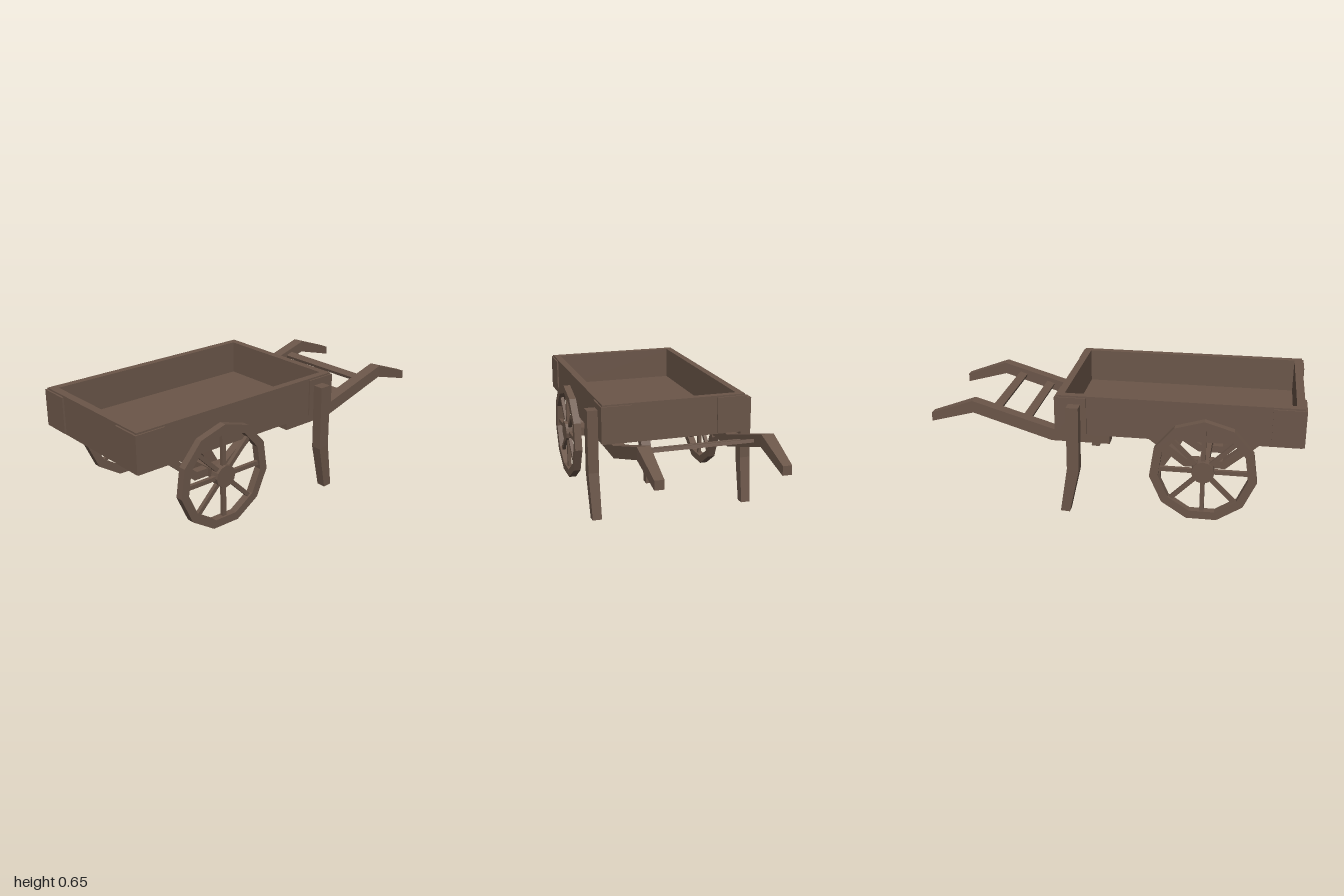
import * as THREE from 'three';

const wood = new THREE.MeshStandardMaterial({ color: 0x6b5649, flatShading: true });
wood.name = 'brownWood';

function add(parent, name, geometry, x = 0, y = 0, z = 0) {
  const mesh = new THREE.Mesh(geometry, wood);
  mesh.name = name;
  mesh.position.set(x, y, z);
  parent.add(mesh);
  return mesh;
}

// Box given by its minimum and maximum on each axis
function block(parent, name, x0, x1, y0, y1, z0, z1) {
  return add(parent, name, new THREE.BoxGeometry(x1 - x0, y1 - y0, z1 - z0),
    (x0 + x1) / 2, (y0 + y1) / 2, (z0 + z1) / 2);
}

// Bent beam through four-cornered sections [x0, x1, zA, yA, zB, yB];
// side = -1 mirrors it to the other side of the cart
function beam(parent, name, sections, side = 1) {
  const pos = [], idx = [];
  for (const [a, b, zA, yA, zB, yB] of sections) {
    const x0 = side > 0 ? a : -b, x1 = side > 0 ? b : -a;
    pos.push(x0, yA, zA, x1, yA, zA, x1, yB, zB, x0, yB, zB);
  }
  const n = sections.length;
  for (let i = 0; i < n - 1; i++) {
    for (let j = 0; j < 4; j++) {
      const p = i * 4 + j, q = i * 4 + (j + 1) % 4;
      idx.push(p, q, q + 4, p, q + 4, p + 4);
    }
  }
  const e = (n - 1) * 4;
  idx.push(0, 3, 2, 0, 2, 1, e, e + 1, e + 2, e, e + 2, e + 3);
  const indexed = new THREE.BufferGeometry();
  indexed.setAttribute('position', new THREE.Float32BufferAttribute(pos, 3));
  indexed.setIndex(idx);
  const g = indexed.toNonIndexed();
  g.computeVertexNormals();
  return add(parent, name, g);
}

function ringPoints(radius, sides) {
  return Array.from({ length: sides }, (_, i) => {
    const a = Math.PI / 2 + i * Math.PI * 2 / sides;
    return new THREE.Vector2(radius * Math.cos(a), radius * Math.sin(a));
  });
}

// Wheel with an eleven-sided rim, turning about x
function makeWheel(name) {
  const wheel = new THREE.Group();
  wheel.name = name;
  const shape = new THREE.Shape(ringPoints(0.283, 11));
  shape.holes.push(new THREE.Path(ringPoints(0.237, 11)));
  const rim = new THREE.ExtrudeGeometry(shape, { depth: 0.042, bevelEnabled: false });
  rim.translate(0, 0, -0.021).rotateY(Math.PI / 2);
  add(wheel, 'rim', rim);
  add(wheel, 'hub', new THREE.CylinderGeometry(0.06, 0.06, 0.05, 12).rotateZ(Math.PI / 2));
  for (let i = 0; i < 8; i++) {
    const spoke = new THREE.BoxGeometry(0.02, 0.2, 0.023);
    spoke.translate(0, 0.14, 0).rotateX(i * Math.PI / 4);
    add(wheel, 'spoke', spoke);
  }
  return wheel;
}

export function createModel() {
  const cart = new THREE.Group();
  cart.name = 'handcart';

  // Open tray
  const tray = new THREE.Group();
  tray.name = 'tray';
  cart.add(tray);
  block(tray, 'floor', -0.36, 0.36, 0.435, 0.465, -0.25, 0.945);
  block(tray, 'frontWall', -0.4, 0.4, 0.435, 0.65, 0.945, 0.988);
  block(tray, 'backWall', -0.4, 0.4, 0.435, 0.65, -0.29, -0.25);
  for (const s of [-1, 1]) {
    block(tray, 'sideWall', s * 0.38 - 0.02, s * 0.38 + 0.02, 0.435, 0.65, -0.25, 0.945);
    // Corner plates wrapping the four outer edges
    const a = s > 0 ? 0.24 : -0.408, b = s > 0 ? 0.408 : -0.24;
    block(tray, 'frontCornerPlate', a, b, 0.442, 0.641, 0.988, 0.998);
    block(tray, 'backCornerPlate', a, b, 0.442, 0.641, -0.299, -0.29);
    const c = s > 0 ? 0.4 : -0.408, d = s > 0 ? 0.408 : -0.4;
    block(tray, 'frontCornerSide', c, d, 0.442, 0.641, 0.83, 0.988);
    block(tray, 'backCornerSide', c, d, 0.442, 0.641, -0.29, -0.13);
  }

  // Axle and wheels
  block(cart, 'axle', -0.41, 0.41, 0.255, 0.305, 0.465, 0.515);
  for (const [name, x] of [['leftWheel', 0.419], ['rightWheel', -0.432]]) {
    const wheel = makeWheel(name);
    wheel.position.set(x, 0.287, 0.49);
    cart.add(wheel);
  }

  for (const s of [-1, 1]) {
    // Bent brace carrying the tray on the axle
    beam(cart, 'axleBrace', [
      [0.282, 0.328, 0.75, 0.437, 0.81, 0.437],
      [0.282, 0.328, 0.585, 0.3, 0.6, 0.257],
      [0.282, 0.328, 0.395, 0.3, 0.38, 0.257],
      [0.282, 0.328, 0.21, 0.437, 0.145, 0.437],
    ], s);

    // Rear leg, kinked backwards and narrowing to the foot
    beam(cart, 'rearLeg', [
      [0.408, 0.466, -0.225, 0.607, -0.16, 0.607],
      [0.408, 0.466, -0.226, 0.26, -0.162, 0.25],
      [0.407, 0.458, -0.267, 0.005, -0.217, 0.002],
    ], s);

    // Handle
    beam(cart, 'handle', [
      [0.287, 0.353, -0.015, 0.436, -0.015, 0.37],
      [0.287, 0.353, -0.32, 0.436, -0.33, 0.37],
      [0.287, 0.353, -0.762, 0.568, -0.76, 0.502],
      [0.294, 0.342, -1, 0.482, -1, 0.434],
    ], s);
  }

  // Centre prop under the tray
  beam(cart, 'centreProp', [
    [-0.034, 0.03, 0.37, 0.437, 0.45, 0.437],
    [-0.03, 0.026, 0.168, 0.085, 0.222, 0.072],
    [-0.03, 0.024, 0.168, 0.013, 0.22, 0.013],
  ]);

  // Flat rungs between the handles, tilted with them
  for (const [y, z] of [[0.453, -0.488], [0.503, -0.653]]) {
    const rung = add(cart, 'handleRung', new THREE.BoxGeometry(0.6, 0.018, 0.046), 0, y, z);
    rung.rotation.x = 0.29;
  }

  return cart;
}
